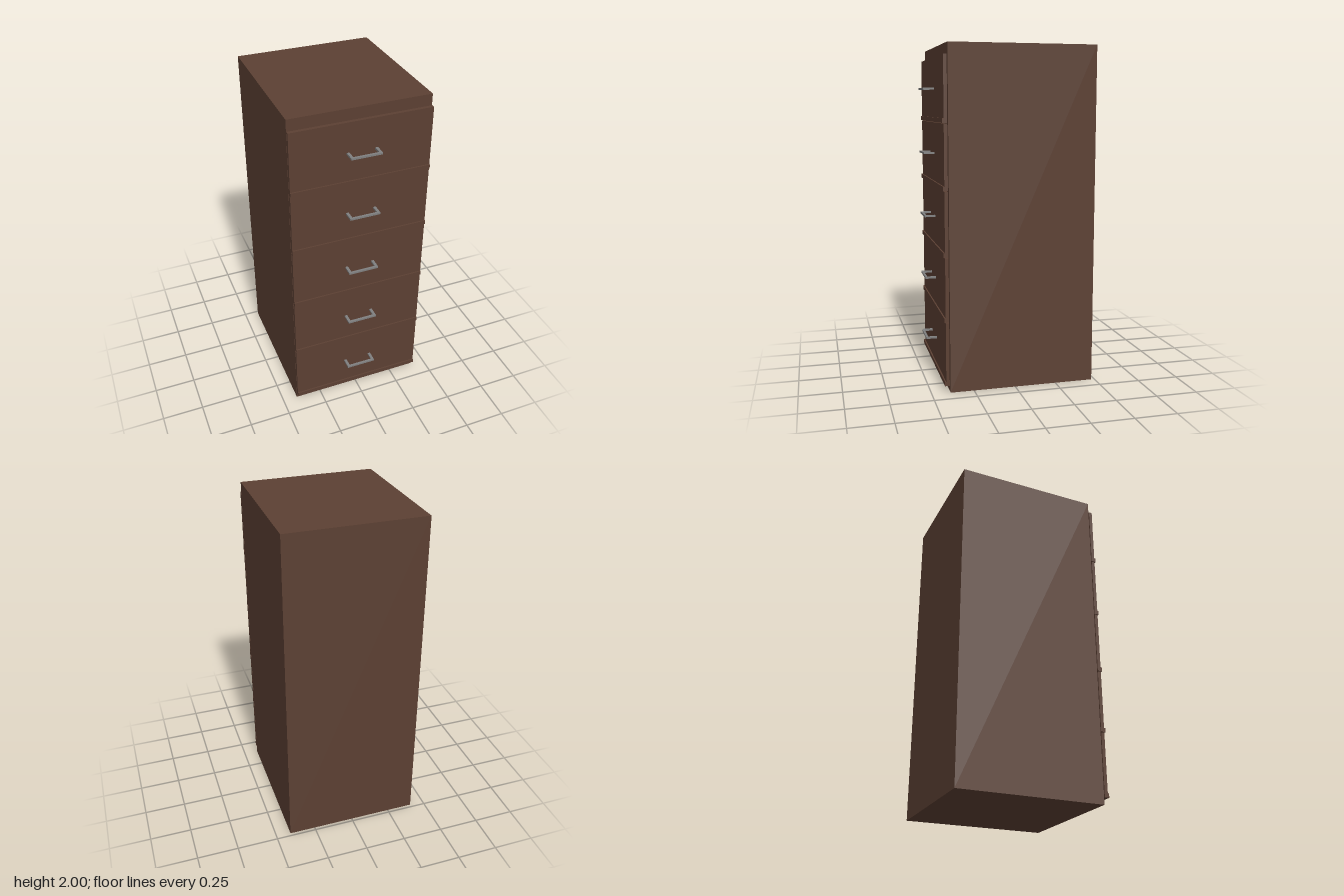
import * as THREE from 'three';

const brown = new THREE.MeshStandardMaterial({ color: 0x5c4033 });
brown.name = 'brown wood';
const grey = new THREE.MeshStandardMaterial({ color: 0x808080 });
grey.name = 'grey metal';

// Box given by its minimum and maximum corners
function box(name, material, [x0, y0, z0], [x1, y1, z1]) {
  const mesh = new THREE.Mesh(new THREE.BoxGeometry(x1 - x0, y1 - y0, z1 - z0), material);
  mesh.position.set((x0 + x1) / 2, (y0 + y1) / 2, (z0 + z1) / 2);
  mesh.name = name;
  return mesh;
}

// U-shaped pull: an outline extruded to a thin flat bar
function createHandle() {
  const w = 0.09, t = 0.016, back = 0.414, front = 0.48, bar = 0.467, h = 0.011;
  const outline = [
    [-w, back], [-w + t, back], [-w + t, bar], [w - t, bar],
    [w - t, back], [w, back], [w, front], [-w, front],
  ].map(([x, z]) => new THREE.Vector2(x, z));
  const geometry = new THREE.ExtrudeGeometry(new THREE.Shape(outline), { depth: h, bevelEnabled: false });
  geometry.rotateX(Math.PI / 2);
  geometry.translate(0, h / 2, 0);
  const handle = new THREE.Mesh(geometry, grey);
  handle.name = 'handle';
  return handle;
}

function createDrawer() {
  const drawer = new THREE.Group();
  drawer.add(
    box('drawerFront', brown, [-0.41, 0, 0.395], [0.41, 0.375, 0.415]),
    // Raised lip along the lower edge
    box('drawerLip', brown, [-0.41, 0, 0.414], [0.41, 0.025, 0.423]),
    // Narrower drawer body joining the front to the cabinet
    box('drawerBody', brown, [-0.377, 0.004, 0.36], [0.377, 0.372, 0.396]),
  );
  const handle = createHandle();
  handle.position.y = 0.193;
  drawer.add(handle);
  return drawer;
}

export function createModel() {
  const model = new THREE.Group();
  model.name = 'drawerCabinet';
  model.add(box('cabinetBody', brown, [-0.41, 0, -0.48], [0.41, 2, 0.39]));

  // Five equal drawers, bottom to top
  for (let i = 0; i < 5; i++) {
    const drawer = createDrawer();
    drawer.name = `drawer${i + 1}`;
    drawer.position.y = 0.042 + i * 0.3795;
    model.add(drawer);
  }
  return model;
}
